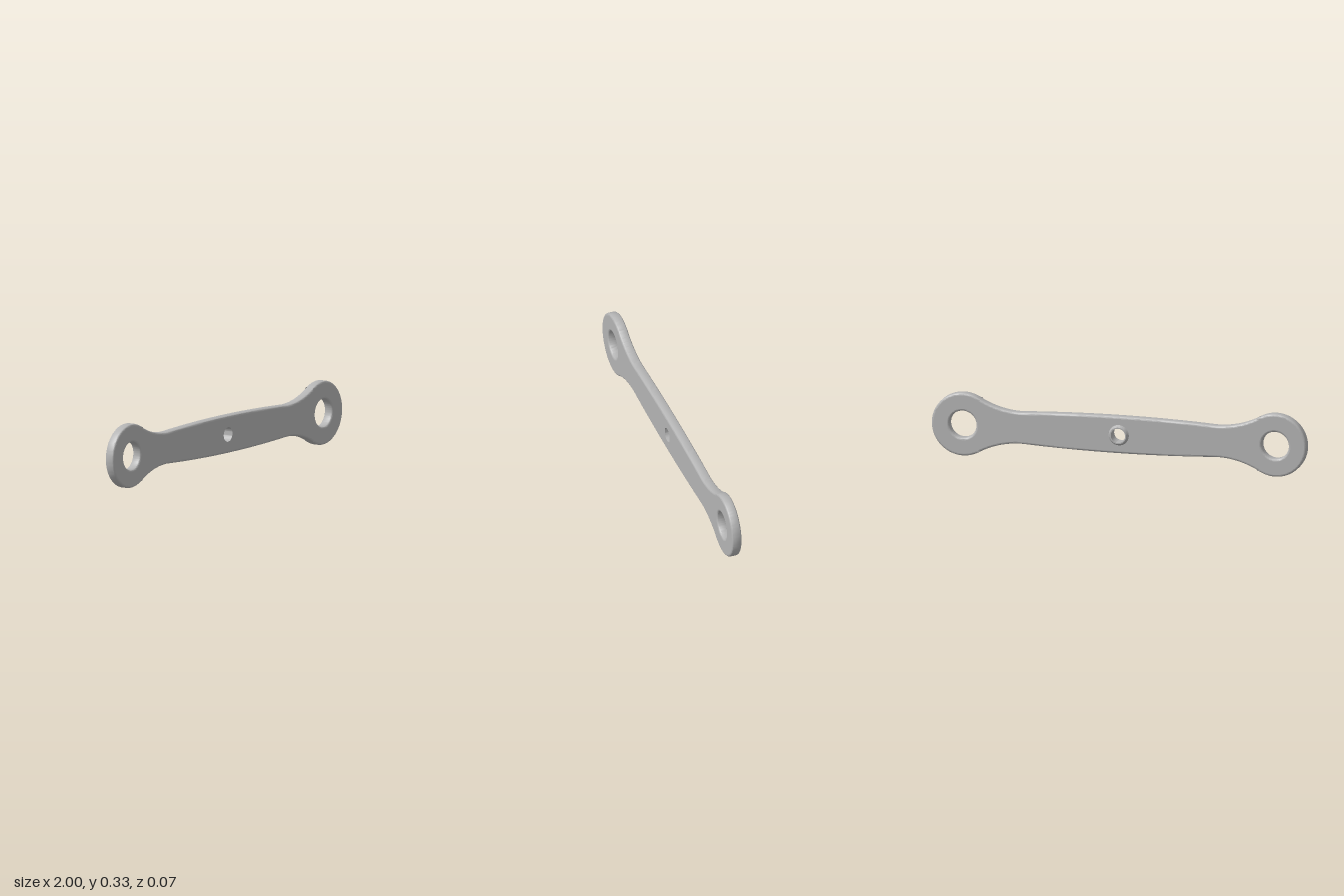
import * as THREE from 'three';
import { toCreasedNormals } from 'three/addons/utils/BufferGeometryUtils.js';

const HUB_X = 0.833, HUB_R = 0.1667, MID_Y = 0.1667;
const BACK = -0.018, FRONT = 0.034, BEVEL = 0.012;

// Outline: round hubs, concave necks and a gently bowed middle
function linkOutline() {
  const d = Math.PI / 180, nx = 0.52, ny = 0.543, nr = 0.46;
  const s = new THREE.Shape();
  s.absarc(HUB_X, 0, HUB_R, -120 * d, 120 * d, false);
  s.absarc(nx, ny, nr, -60 * d, -90 * d, true);
  s.quadraticCurveTo(0, 0.113, -nx, ny - nr);
  s.absarc(-nx, ny, nr, -90 * d, -120 * d, true);
  s.absarc(-HUB_X, 0, HUB_R, 60 * d, 300 * d, false);
  s.absarc(-nx, -ny, nr, 120 * d, 90 * d, true);
  s.quadraticCurveTo(0, -0.113, nx, nr - ny);
  s.absarc(nx, -ny, nr, 90 * d, 60 * d, true);
  for (const [x, r] of [[-HUB_X, 0.072], [0, 0.042], [HUB_X, 0.072]]) {
    const hole = new THREE.Path();
    hole.absarc(x, 0, r, 0, Math.PI * 2, true);
    s.holes.push(hole);
  }
  return s;
}

export function createModel() {
  const group = new THREE.Group();
  group.name = 'linkBar';
  const metal = new THREE.MeshStandardMaterial({ color: 0xb4b4b4 });
  metal.name = 'greyMetal';

  // Bar with rounded rims
  const extruded = new THREE.ExtrudeGeometry(linkOutline(), {
    depth: FRONT - BACK - 2 * BEVEL, curveSegments: 40,
    bevelEnabled: true, bevelThickness: BEVEL, bevelSize: BEVEL,
    bevelOffset: -BEVEL, bevelSegments: 5,
  });
  extruded.translate(0, MID_Y, BACK + BEVEL);
  const flat = extruded.attributes.normal.clone();
  const barGeo = toCreasedNormals(extruded, 0.6);
  // Keep the large front and back faces perfectly flat
  const n = barGeo.attributes.normal;
  for (let i = 0; i < n.count; i++) {
    if (Math.abs(flat.getZ(i)) > 0.999) n.setXYZ(i, 0, 0, Math.sign(flat.getZ(i)));
  }
  const bar = new THREE.Mesh(barGeo, metal);
  bar.name = 'bar';
  group.add(bar);

  // Centre bushing: flush at the front, tapered boss at the back
  const profile = [
    [0.038, -0.033], [0.044, -0.033], [0.054, BACK],
    [0.054, FRONT], [0.038, FRONT], [0.038, -0.033],
  ].map(([r, y]) => new THREE.Vector2(r, y));
  const bushingGeo = toCreasedNormals(new THREE.LatheGeometry(profile, 48), 0.5);
  bushingGeo.rotateX(Math.PI / 2);
  const bushing = new THREE.Mesh(bushingGeo, metal);
  bushing.name = 'centreBushing';
  bushing.position.y = MID_Y;
  group.add(bushing);

  return group;
}
